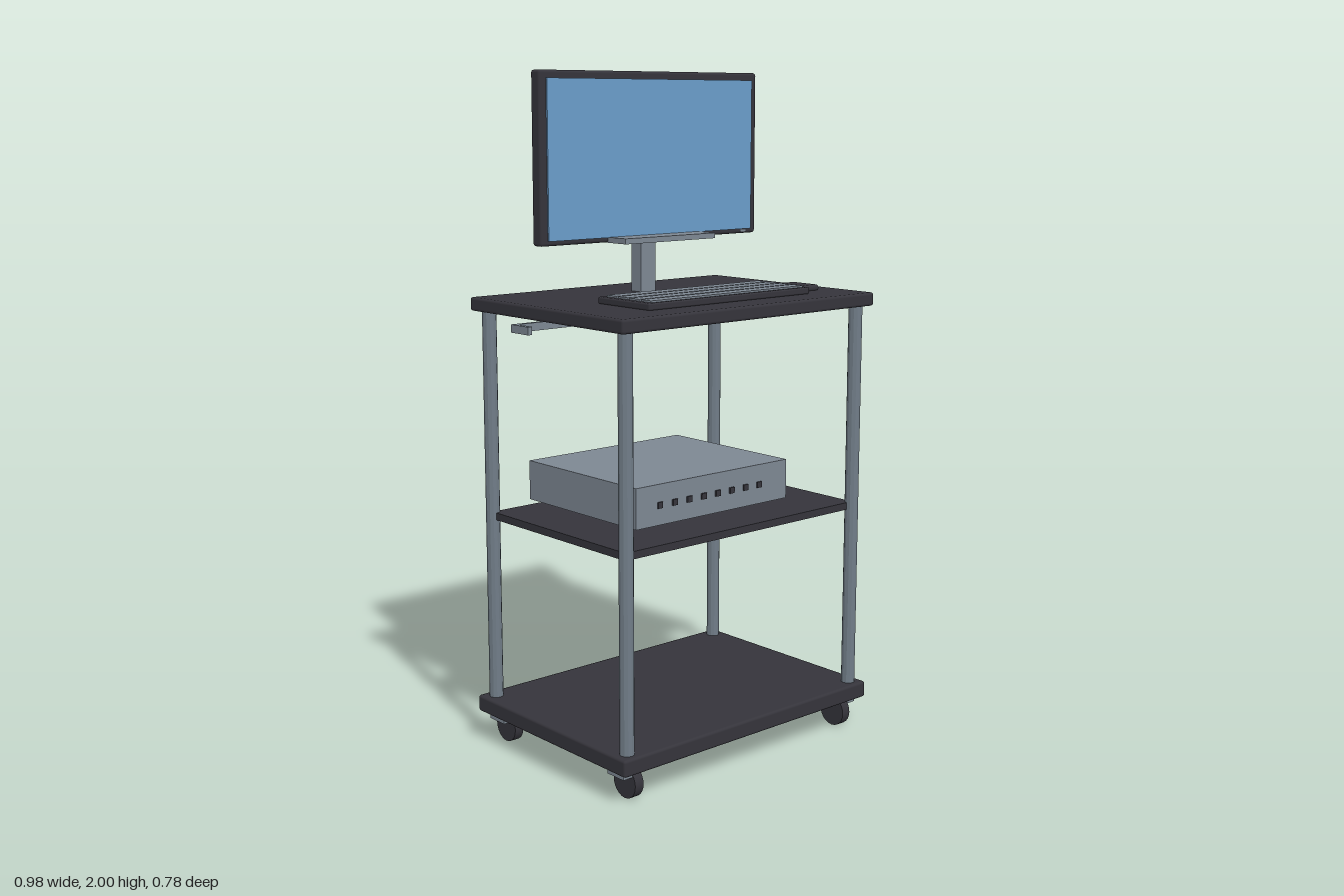
import * as THREE from 'three';
import { RoundedBoxGeometry } from 'three/addons/geometries/RoundedBoxGeometry.js';

export function createModel() {
  const model = new THREE.Group();
  model.name = 'computerCart';

  const material = (name, color, extra = {}) => {
    const m = new THREE.MeshStandardMaterial({ color, ...extra });
    m.name = name;
    return m;
  };
  const dark = material('charcoal', 0x35343b);
  const steel = material('steelGrey', 0x7d8792);
  const post = material('postGrey', 0x707c87, { flatShading: true });
  const blue = material('screenBlue', 0x6a9cc9);

  const add = (name, geometry, mat, x, y, z, parent = model) => {
    const mesh = new THREE.Mesh(geometry, mat);
    mesh.name = name;
    mesh.position.set(x, y, z);
    parent.add(mesh);
    return mesh;
  };
  // Box given by its min and max on each axis; a radius softens its edges
  const block = (name, mat, [x0, x1], [y0, y1], [z0, z1], radius = 0, parent = model) => {
    const size = [x1 - x0, y1 - y0, z1 - z0];
    const geometry = radius
      ? new RoundedBoxGeometry(...size, 2, radius)
      : new THREE.BoxGeometry(...size);
    return add(name, geometry, mat, (x0 + x1) / 2, (y0 + y1) / 2, (z0 + z1) / 2, parent);
  };
  const group = (name) => {
    const g = new THREE.Group();
    g.name = name;
    model.add(g);
    return g;
  };

  // Shelves
  block('topShelf', dark, [-0.488, 0.488], [1.315, 1.355], [-0.307, 0.388], 0.008);
  block('middleShelf', dark, [-0.45, 0.45], [0.692, 0.714], [-0.267, 0.35]);
  block('baseShelf', dark, [-0.488, 0.488], [0.09, 0.14], [-0.307, 0.388], 0.008);

  // Corner posts and casters
  const postGeometry = new THREE.CylinderGeometry(0.021, 0.021, 1.18, 12);
  const wheelGeometry = new THREE.CylinderGeometry(0.047, 0.047, 0.03, 24).rotateZ(Math.PI / 2);
  for (const side of [-1, 1]) {
    for (const [postZ, wheelZ] of [[0.35, 0.324], [-0.267, -0.237]]) {
      add('post', postGeometry, post, side * 0.448, 0.727, postZ);
      const caster = group('caster');
      add('wheel', wheelGeometry, dark, side * 0.421, 0.047, wheelZ, caster);
      add('casterMount', new THREE.BoxGeometry(0.05, 0.02, 0.07), steel,
        side * 0.444, 0.081, wheelZ, caster);
    }
  }

  // Monitor with its stand
  const monitor = group('monitor');
  block('monitorCase', dark, [-0.418, 0.418], [1.512, 2], [-0.092, -0.052], 0.008, monitor);
  block('screen', blue, [-0.394, 0.394], [1.526, 1.978], [-0.053, -0.047], 0, monitor);
  block('statusLight', steel, [0.355, 0.375], [1.517, 1.523], [-0.053, -0.05], 0, monitor);
  block('standColumn', steel, [-0.029, 0.029], [1.355, 1.755], [-0.121, -0.078], 0, monitor);
  block('standPlate', steel, [-0.175, 0.175], [1.511, 1.527], [-0.226, 0.027], 0, monitor);

  // Keyboard with four key rows, and mouse
  const keyboard = group('keyboard');
  block('keyboardCase', dark, [-0.313, 0.313], [1.355, 1.375], [0.069, 0.29], 0.005, keyboard);
  for (let i = 0; i < 4; i++) {
    const z = 0.089 + i * 0.049;
    block('keyRow', steel, [-0.295, 0.295], [1.372, 1.38], [z, z + 0.041], 0, keyboard);
  }
  block('mouse', dark, [0.343, 0.412], [1.352, 1.372], [0.125, 0.236], 0.009);

  // Rear handle
  const handle = group('handle');
  block('handleBar', steel, [-0.28, 0.28], [1.223, 1.248], [-0.393, -0.378], 0, handle);
  for (const x of [-0.272, 0.272]) {
    block('handleArm', steel, [x - 0.008, x + 0.008], [1.223, 1.248], [-0.378, -0.307], 0, handle);
  }

  // Equipment box with a row of buttons
  const unit = group('equipmentBox');
  block('unitCase', steel, [-0.3, 0.298], [0.726, 0.846], [-0.282, 0.217], 0, unit);
  for (let i = 0; i < 8; i++) {
    const x = -0.212 + i * 0.0562;
    block('button', dark, [x - 0.009, x + 0.009], [0.776, 0.794], [0.215, 0.222], 0, unit);
  }

  return model;
}
